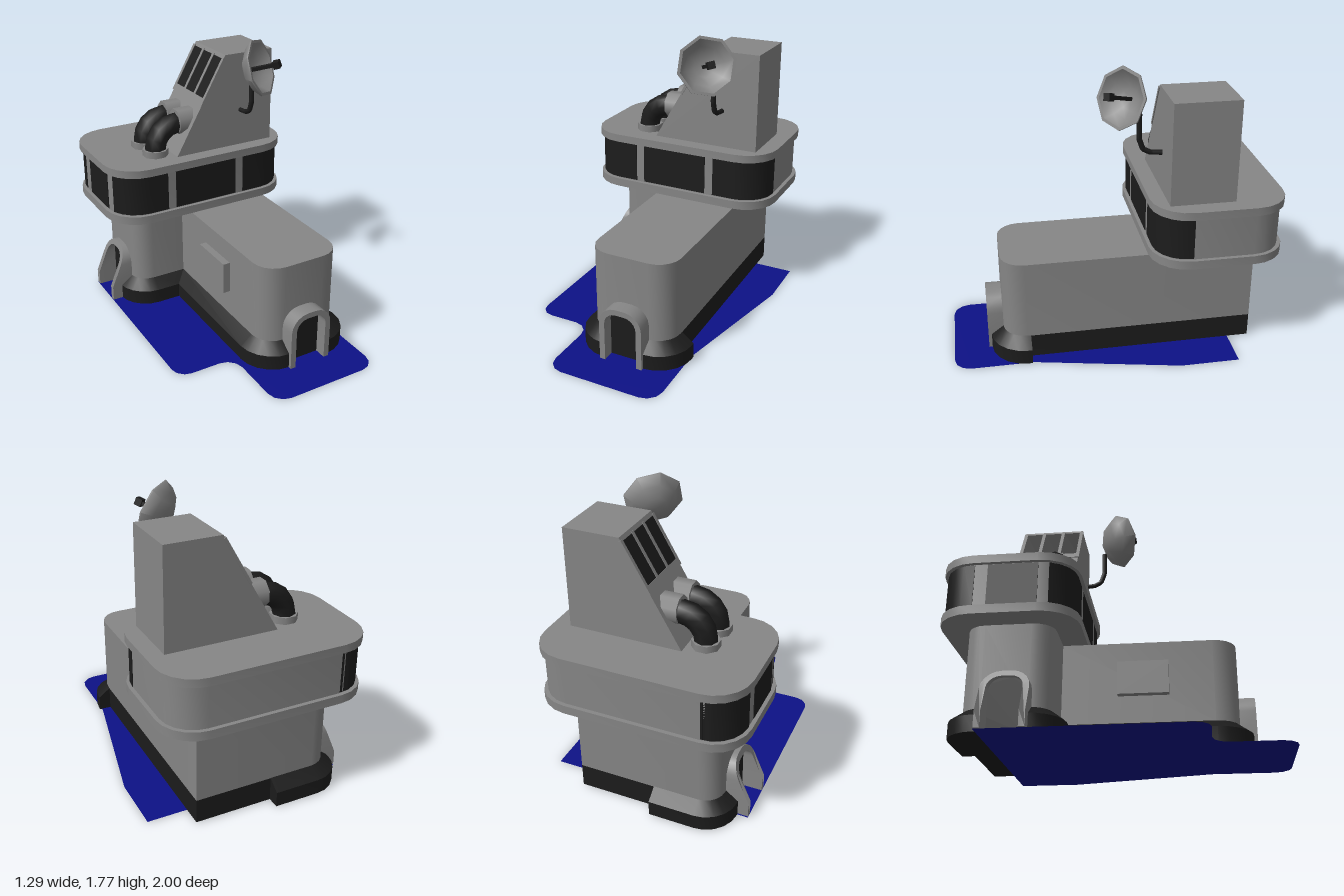
import * as THREE from 'three';
import { toCreasedNormals } from 'three/addons/utils/BufferGeometryUtils.js';

const grey = new THREE.MeshStandardMaterial({ color: 0x868686 });
const greyThin = new THREE.MeshStandardMaterial({ color: 0x868686, side: THREE.DoubleSide });
const dark = new THREE.MeshStandardMaterial({ color: 0x1c1c1c });
const darkThin = new THREE.MeshStandardMaterial({ color: 0x1c1c1c, side: THREE.DoubleSide });
const blue = new THREE.MeshStandardMaterial({ color: 0x0d1186, side: THREE.DoubleSide });

// Polyline from [a, b, radius] points; points with a radius are right angles to round off
function roundPath(pts, segs = 5) {
  const out = [];
  pts.forEach(([a, b, r], i) => {
    const p = new THREE.Vector2(a, b);
    if (!r) { out.push(p); return; }
    const toward = (q) => new THREE.Vector2(q[0], q[1]).sub(p).normalize();
    const u = toward(pts[(i + pts.length - 1) % pts.length]);
    const v = toward(pts[(i + 1) % pts.length]);
    for (let k = 0; k <= segs; k++) {
      const t = (k / segs) * Math.PI / 2;
      out.push(p.clone().addScaledVector(u, r * (1 - Math.sin(t))).addScaledVector(v, r * (1 - Math.cos(t))));
    }
  });
  return out;
}

// Plan outline (x, z) raised from y0 to y1
function prism(plan, y0, y1) {
  const shape = new THREE.Shape(plan.map((p) => new THREE.Vector2(p.x, -p.y)));
  const g = new THREE.ExtrudeGeometry(shape, { depth: y1 - y0, bevelEnabled: false });
  g.rotateX(-Math.PI / 2).translate(0, y0, 0);
  return toCreasedNormals(g, 0.5);
}

// Closed section of [outward offset, y] points swept along an open plan path
function sweep(path, section) {
  const pos = [], idx = [], m = section.length, n = path.length;
  path.forEach((p, i) => {
    const side = (a, b) => new THREE.Vector2(-(b.y - a.y), b.x - a.x).normalize();
    const n1 = side(path[Math.max(i - 1, 0)], path[Math.max(i, 1)]);
    const n2 = side(path[Math.min(i, n - 2)], path[Math.min(i + 1, n - 1)]);
    const miter = n1.clone().add(n2).divideScalar(1 + n1.dot(n2));
    section.forEach(([d, y]) => pos.push(p.x + miter.x * d, y, p.y + miter.y * d));
  });
  for (let i = 0; i < n - 1; i++) {
    for (let j = 0; j < m; j++) {
      const a = i * m + j, b = i * m + (j + 1) % m;
      idx.push(a, b, a + m, b, b + m, a + m);
    }
  }
  for (let j = 1; j < m - 1; j++) {
    const e = (n - 1) * m;
    idx.push(0, j + 1, j, e, e + j, e + j + 1);
  }
  const g = new THREE.BufferGeometry();
  g.setAttribute('position', new THREE.Float32BufferAttribute(pos, 3));
  g.setIndex(idx);
  return toCreasedNormals(g, 0.5);
}

export function createModel() {
  const model = new THREE.Group();
  const add = (name, geo, mat, parent = model) => {
    const mesh = new THREE.Mesh(geo, mat);
    mesh.name = name;
    parent.add(mesh);
  };
  const box = (x0, x1, y0, y1, z0, z1) => new THREE.BoxGeometry(x1 - x0, y1 - y0, z1 - z0)
    .translate((x0 + x1) / 2, (y0 + y1) / 2, (z0 + z1) / 2);

  // Ground plate
  const plate = roundPath([[-0.62, -0.72], [-0.62, 0.52, 0.09], [-0.245, 0.52, 0.1], [-0.245, 1, 0.1],
    [0.46, 1, 0.1], [0.46, 0.52], [0.645, -0.36], [0.645, -0.72]], 3);
  add('groundPlate', new THREE.ShapeGeometry(new THREE.Shape(plate.map((p) => new THREE.Vector2(p.x, -p.y))))
    .rotateX(-Math.PI / 2), blue);

  // L-shaped hall with a dark foot
  const backCorner = [-0.48, -0.85, 0.12];
  const inner = [[-0.48, -0.34, 0.12], [-0.14, -0.34], [-0.14, 0.69, 0.14]];
  const frontCorner = [0.4, 0.69, 0.14];
  const hallPlan = roundPath([[0.4, -0.85], backCorner, ...inner, frontCorner]);
  add('hall', prism(hallPlan, 0.155, 0.652), grey);
  add('foot', prism(hallPlan, 0.006, 0.155), dark);
  add('sideHatch', box(-0.185, -0.13, 0.32, 0.52, -0.01, 0.29), grey);

  // Flared skirt, interrupted at both entrances
  [
    [[-0.08, -0.85], backCorner, [-0.48, -0.7]],
    [[-0.48, -0.46], ...inner, [0.01, 0.69]],
    [[0.245, 0.69], frontCorner, [0.4, 0.53]],
  ].forEach((run) => add('skirt', sweep(roundPath(run),
    [[0, 0.006], [0.075, 0.006], [0.075, 0.1], [0, 0.157]]), darkThin));

  // Arched entrances, each facing its own +z; slant leans the frame back
  function entrance(name, depth, slant) {
    const g = new THREE.Group();
    g.name = name;
    const arch = (w, h, r) => roundPath([[-w, 0.006], [-w, 0.1], [-w, h, r], [w, h, r], [w, 0.1], [w, 0.006]]);
    const opening = arch(0.1025, 0.325, 0.075);
    const outline = [...arch(0.1375, 0.36, 0.11), ...[...opening].reverse()];
    const frame = new THREE.ExtrudeGeometry(new THREE.Shape(outline), { depth, bevelEnabled: false });
    const p = frame.attributes.position;
    for (let i = 0; i < p.count; i++) {
      p.setZ(i, p.getZ(i) - depth - Math.max(0, p.getY(i) - 0.1) * slant);
    }
    add('doorFrame', toCreasedNormals(frame, 0.35), grey, g);
    const door = new THREE.ExtrudeGeometry(new THREE.Shape(opening), { depth: 0.02, bevelEnabled: false });
    add('door', door.translate(0, 0, -depth + 0.005), dark, g);
    model.add(g);
    return g;
  }
  entrance('frontEntrance', 0.1, 0).position.set(0.1275, 0, 0.785);
  const side = entrance('sideEntrance', 0.15, 0.42);
  side.position.set(-0.62, 0, -0.58);
  side.rotation.y = -Math.PI / 2;

  // Control deck: two slabs with a glazed drum between
  const ring = (i) => roundPath([[-0.645 + i, -1 + i, 0.22 - i], [-0.645 + i, -0.19 - i, 0.22 - i],
    [0.61 - i, -0.19 - i, 0.22 - i], [0.61 - i, -1 + i, 0.22 - i]]);
  add('deckFloor', prism(ring(0), 0.652, 0.705), grey);
  add('deckDrum', prism(ring(0.024), 0.705, 0.968), grey);
  add('deckRoof', prism(ring(0), 0.968, 1.018), grey);
  const L = -0.621, R = 0.586, B = -0.976, F = -0.214, c = 0.196;
  [
    roundPath([[-0.44, B], [L, B, c], [L, -0.775]]),
    roundPath([[L, -0.7], [L, -0.41]]),
    roundPath([[L, -0.5], [L, F, c], [-0.295, F]]).slice(2), // starts part way round the corner
    roundPath([[-0.24, F], [0.195, F]]),
    roundPath([[0.25, F], [R, F, c], [R, -0.417]]),
  ].forEach((path) => add('window', sweep(path, [[0, 0.71], [0.004, 0.71], [0.004, 0.965], [0, 0.965]]), darkThin));

  // Sloped tower
  const towerShape = new THREE.Shape([[-0.19, 1.015], [0.505, 1.015], [0.505, 1.632], [0.163, 1.632]]
    .map(([x, y]) => new THREE.Vector2(x, y)));
  add('tower', new THREE.ExtrudeGeometry(towerShape, { depth: 0.39, bevelEnabled: false }).translate(0, 0, -0.677), grey);

  // Vents and rails on the slope
  const vents = new THREE.Group();
  vents.name = 'vents';
  vents.position.set(0.0725, 1.474, -0.482);
  vents.rotation.z = Math.atan2(0.615, 0.353);
  model.add(vents);
  for (const z of [-0.13, 0, 0.13]) add('vent', box(-0.12, 0.155, -0.01, 0.003, z - 0.055, z + 0.055), dark, vents);
  for (const z of [-0.19, -0.065, 0.065, 0.19]) add('ventRail', box(-0.165, 0.165, -0.01, 0.006, z - 0.011, z + 0.011), grey, vents);
  add('ventSill', box(-0.165, -0.12, -0.01, 0.006, -0.195, 0.195), grey, vents);

  // Pair of elbow ducts from deck to tower
  for (const z of [-0.57, -0.397]) {
    const duct = new THREE.Group();
    duct.name = 'duct';
    duct.position.z = z;
    model.add(duct);
    const collar = (length) => new THREE.CylinderGeometry(0.084, 0.084, length, 8, 1, false, Math.PI / 8);
    add('ductBase', collar(0.045).translate(-0.29, 1.0375, 0), grey, duct);
    add('ductElbow', new THREE.TorusGeometry(0.145, 0.07, 8, 4, Math.PI / 2)
      .rotateZ(Math.PI / 2).translate(-0.145, 1.06, 0), dark, duct);
    add('ductCollar', collar(0.115).rotateZ(Math.PI / 2).translate(-0.0875, 1.216, 0), grey, duct);
  }

  // Dish aerial: eight-sided bowl, feed rod and block
  const dish = new THREE.Group();
  dish.name = 'dish';
  const axis = new THREE.Vector3(0.57, 0.3, 0.76).normalize();
  const up = new THREE.Vector3(-0.06, 0.17, -0.02).projectOnPlane(axis).normalize();
  dish.quaternion.setFromRotationMatrix(
    new THREE.Matrix4().makeBasis(new THREE.Vector3().crossVectors(axis, up), axis, up));
  dish.position.set(0.273, 1.6, -0.038);
  model.add(dish);
  const bowl = [[0, -0.105], [0.07, -0.097], [0.135, -0.063], [0.182, -0.008], [0.182, 0],
    [0.164, 0], [0.122, -0.05], [0.065, -0.082], [0, -0.09]].map(([x, y]) => new THREE.Vector2(x, y));
  add('bowl', toCreasedNormals(new THREE.LatheGeometry(bowl, 8), 0.85), greyThin, dish);
  add('feedRod', box(-0.011, 0.011, -0.09, 0.09, -0.011, 0.011), dark, dish);
  add('feedBlock', box(-0.022, 0.022, 0.08, 0.122, -0.022, 0.022), dark, dish);

  // Bent bracket between tower and dish
  const bend = new THREE.CurvePath();
  const bracket = [[1.5, -0.147], [1.35, -0.147], [1.285, -0.17], [1.262, -0.215], [1.256, -0.285]]
    .map(([y, z]) => new THREE.Vector3(0.272, y, z));
  for (let i = 1; i < bracket.length; i++) bend.add(new THREE.LineCurve3(bracket[i - 1], bracket[i]));
  add('dishBracket', new THREE.TubeGeometry(bend, 24, 0.016, 6), darkThin);

  return model;
}
